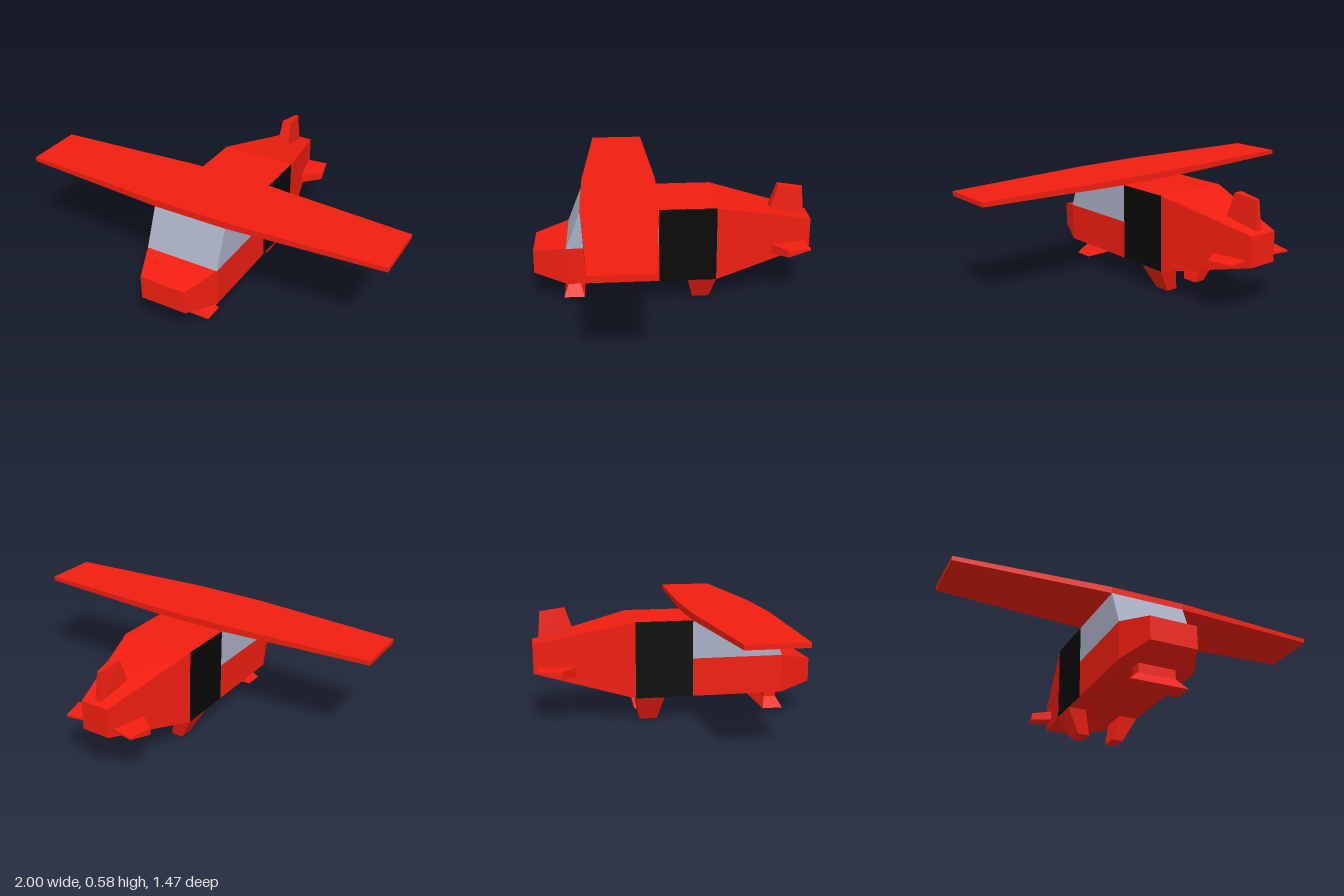
import * as THREE from 'three';
import { ConvexGeometry } from 'three/addons/geometries/ConvexGeometry.js';

const paint = (color) => new THREE.MeshStandardMaterial({ color });

export function createModel() {
  const model = new THREE.Group();
  const red = paint(0xf01e10), black = paint(0x080808), glass = paint(0xa9aec4);

  // Flat-faced solid from its corner points [x, y, z]
  const solid = (name, corners, material) => {
    const mesh = new THREE.Mesh(new ConvexGeometry(corners.map((c) => new THREE.Vector3(...c))), material);
    mesh.name = name;
    model.add(mesh);
  };
  const mirrored = (name, corners, material) => {
    solid('left' + name, corners, material);
    solid('right' + name, corners.map(([x, y, z]) => [-x, y, z]), material);
  };
  // Rectangular rings: upright (constant z) and level (constant y)
  const section = (z, w, y0, y1) => [[-w, y0, z], [w, y0, z], [w, y1, z], [-w, y1, z]];
  const level = (y, x0, x1, z0, z1) => [[x0, y, z0], [x1, y, z0], [x1, y, z1], [x0, y, z1]];

  // Fuselage
  solid('nose', [...section(0.735, 0.125, 0.165, 0.29), ...section(0.56, 0.2, 0.13, 0.33)], red);
  solid('lowerCabin', [...section(0.56, 0.2, 0.13, 0.33), ...section(0.08, 0.2, 0.13, 0.33)], red);
  solid('cabinGlass', [...level(0.33, -0.2, 0.2, 0.08, 0.56), ...level(0.53, -0.2, 0.2, 0.08, 0.48)], glass);
  solid('midBody', [...section(0.08, 0.199, 0.13, 0.53), ...section(-0.22, 0.199, 0.13, 0.53)], red);
  mirrored('SidePanel', [...level(0.13, 0.198, 0.2, -0.22, 0.08), ...level(0.53, 0.198, 0.2, -0.22, 0.08)], black);
  solid('tailCone', [...section(-0.22, 0.2, 0.13, 0.53), ...section(-0.735, 0.077, 0.255, 0.41)], red);

  // High wing: straight centre and tapered outer panels
  const root = [...level(0.53, 0.2, 0.2, 0.08, 0.48), ...level(0.565, 0.2, 0.2, 0.08, 0.48)];
  solid('wingCentre', [...root, ...root.map(([x, y, z]) => [-x, y, z])], red);
  mirrored('Wing', [
    ...[0.53, 0.565].flatMap((y) => [[0.2, y, 0.08], [0.2, y, 0.48]]),
    ...[0.536, 0.56].flatMap((y) => [[1, y, 0.13], [1, y, 0.43]]),
  ], red);

  // Tail fin, thick at its leading edge
  solid('tailFin', [-1, 1].flatMap((s) => [
    [s * 0.035, 0.44, -0.515], [s * 0.018, 0.4, -0.706],
    [s * 0.025, 0.583, -0.562], [s * 0.008, 0.568, -0.694],
  ]), red);

  // Wedge-shaped tailplanes, running into the tail cone
  mirrored('Tailplane', [
    [0.06, 0.24, -0.515], [0.06, 0.29, -0.515], [0.125, 0.24, -0.52], [0.125, 0.29, -0.52],
    [0.222, 0.252, -0.595], [0.222, 0.29, -0.595],
    [0.193, 0.277, -0.72], [0.193, 0.287, -0.72], [0.05, 0.28, -0.698], [0.05, 0.29, -0.698],
  ], red);

  // Nose gear: short strut above a flared foot
  solid('noseStrut', [...level(0.14, -0.1, 0.1, 0.495, 0.56), ...level(0.08, -0.1, 0.1, 0.495, 0.56)], red);
  solid('noseFoot', [...level(0.08, -0.1, 0.1, 0.495, 0.56), ...level(0.03, -0.158, 0.158, 0.475, 0.582)], red);

  // Main gear legs, tapering inward
  mirrored('MainLeg', [...level(0.13, 0.1, 0.2, -0.22, -0.07), ...level(0, 0.067, 0.13, -0.19, -0.1)], red);

  return model;
}
